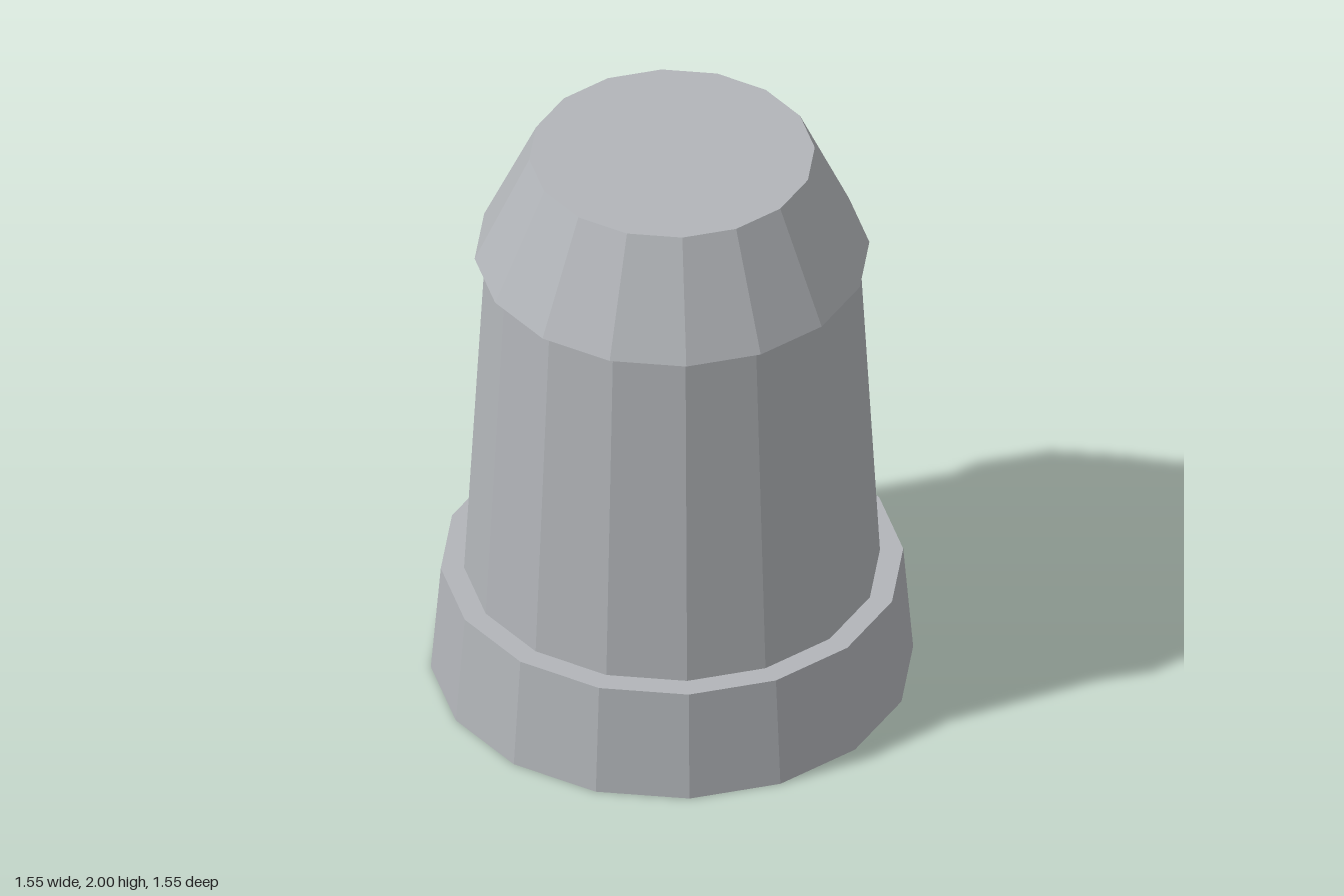
import * as THREE from 'three';

const SIDES = 16;

export function createModel() {
  const model = new THREE.Group();
  model.name = 'bollard';

  const grey = new THREE.MeshStandardMaterial({ color: 0xb2b5b9, flatShading: true });
  grey.name = 'light grey';

  // Tapered faceted drum between two heights
  const addDrum = (name, bottomRadius, topRadius, y0, y1) => {
    const geometry = new THREE.CylinderGeometry(topRadius, bottomRadius, y1 - y0, SIDES);
    const mesh = new THREE.Mesh(geometry, grey);
    mesh.name = name;
    mesh.position.y = (y0 + y1) / 2;
    model.add(mesh);
  };

  addDrum('base', 0.777, 0.745, 0, 0.39);
  addDrum('body', 0.67, 0.603, 0.39, 1.615);
  addDrum('cap', 0.636, 0.46, 1.615, 2);

  return model;
}
